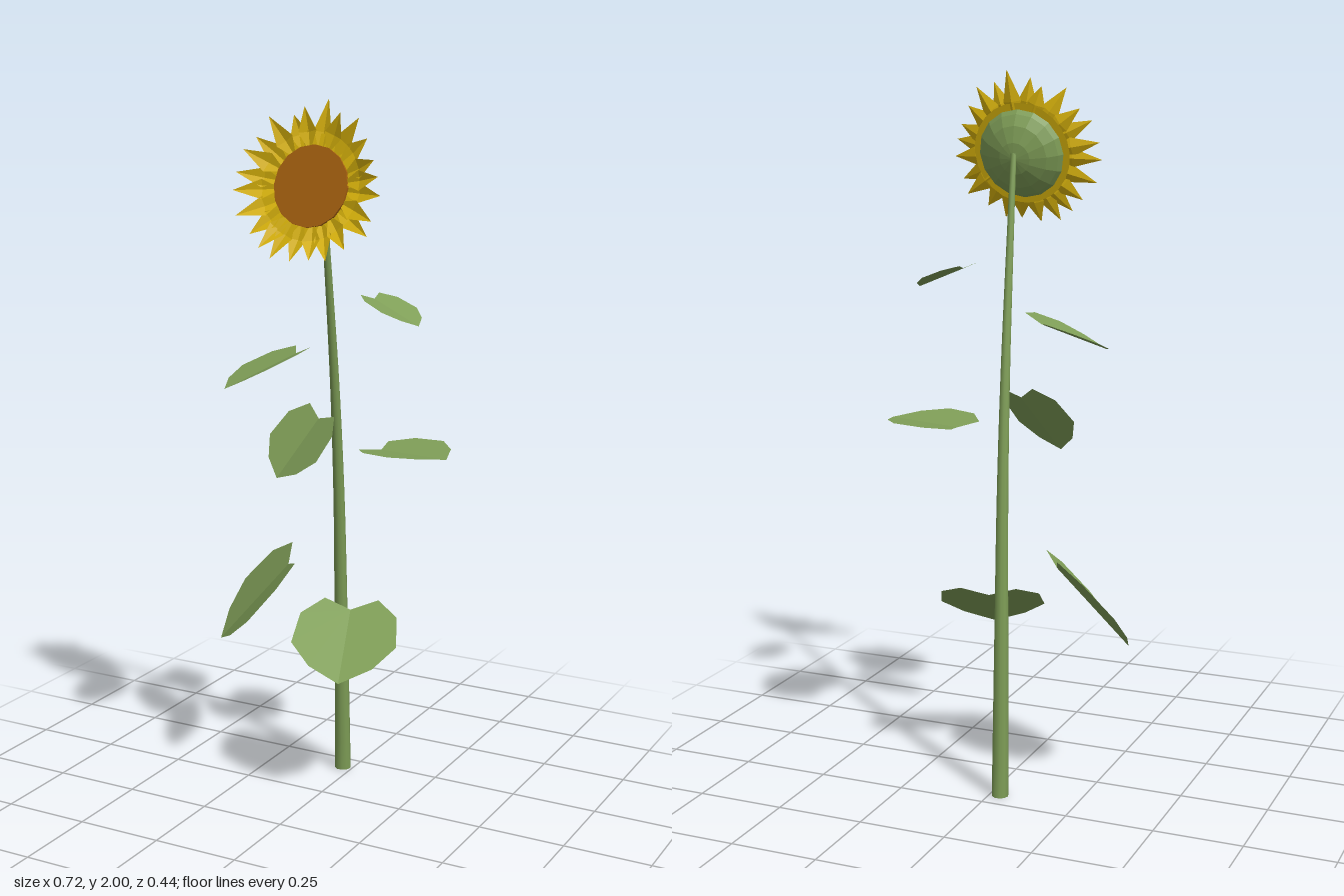
import * as THREE from 'three';

const green = new THREE.MeshStandardMaterial({ color: 0x809f58, flatShading: true, side: THREE.DoubleSide });
green.name = 'leafGreen';
const stemGreen = new THREE.MeshStandardMaterial({ color: 0x7c9b55 });
stemGreen.name = 'stemGreen';
const yellow = new THREE.MeshStandardMaterial({ color: 0xdcb60c, flatShading: true, side: THREE.DoubleSide });
yellow.name = 'petalYellow';
const brown = new THREE.MeshStandardMaterial({ color: 0xa9620f, flatShading: true });
brown.name = 'seedBrown';

const V = (x, y, z) => new THREE.Vector3(x, y, z);

function mesh(name, geometry, material, parent) {
  const m = new THREE.Mesh(geometry, material);
  m.name = name;
  parent.add(m);
  return m;
}

// Small seeded random source for natural variation
function seeded(seed) {
  return () => (seed = (seed * 16807) % 2147483647) / 2147483647;
}

// Heart-shaped leaf, folded lightly along its midrib
const leafEdge = [[-0.12, 0.52], [0.13, 0.93], [0.54, 1], [0.82, 0.6]];
function leafGeometry(base, tip, sideHint, halfWidth) {
  const axis = tip.clone().sub(base);
  const along = axis.clone().normalize();
  const side = sideHint.clone().addScaledVector(along, -sideHint.dot(along)).normalize();
  const up = along.clone().cross(side);
  const points = [base, tip];
  const index = [];
  for (const s of [1, -1]) {
    const first = points.length;
    for (const [u, v] of leafEdge) {
      points.push(base.clone().addScaledVector(axis, u)
        .addScaledVector(side, s * v * halfWidth)
        .addScaledVector(up, 0.13 * v * halfWidth));
    }
    const rim = [first, first + 1, first + 2, first + 3, 1];
    for (let i = 0; i < 4; i++) {
      if (s > 0) index.push(0, rim[i + 1], rim[i]);
      else index.push(0, rim[i], rim[i + 1]);
    }
  }
  const g = new THREE.BufferGeometry().setFromPoints(points);
  g.setIndex(index);
  g.computeVertexNormals();
  return g;
}

// Leaning stem that narrows toward the flower
function stemGeometry(path) {
  const rows = 20, sides = 10;
  const g = new THREE.TubeGeometry(path, rows, 1, sides, false);
  const p = g.attributes.position;
  const v = V(0, 0, 0);
  for (let i = 0; i <= rows; i++) {
    const c = path.getPointAt(i / rows);
    const r = THREE.MathUtils.lerp(0.024, 0.008, i / rows);
    for (let j = 0; j <= sides; j++) {
      const k = i * (sides + 1) + j;
      v.fromBufferAttribute(p, k).sub(c).multiplyScalar(r).add(c);
      p.setXYZ(k, v.x, i === 0 ? 0 : v.y, v.z);
    }
  }
  g.computeVertexNormals();
  return g;
}

// One pointed petal along +y with a raised midrib
function petalGeometry(length, lean) {
  const r0 = 0.09, mid = 0.145, w = 0.027;
  const g = new THREE.BufferGeometry().setFromPoints([
    V(0, r0, 0), V(w, mid, 0.004 + lean * 0.35), V(0, length, lean),
    V(-w, mid, 0.004 + lean * 0.35), V(0, mid, lean * 0.35 - 0.004)]);
  g.setIndex([0, 1, 4, 1, 2, 4, 2, 3, 4, 3, 0, 4]);
  g.computeVertexNormals();
  return g;
}

export function createModel() {
  const model = new THREE.Group();
  model.name = 'sunflower';

  const path = new THREE.CatmullRomCurve3([
    V(-0.03, 0, -0.19), V(-0.024, 0.45, -0.165), V(-0.012, 0.87, -0.125),
    V(0.0, 1.2, -0.075), V(0.014, 1.5, -0.012), V(0.028, 1.77, 0.05)]);
  mesh('stem', stemGeometry(path), stemGreen, model);
  const cut = mesh('stemBase', new THREE.CircleGeometry(0.024, 10).rotateX(Math.PI / 2), stemGreen, model);
  cut.position.set(-0.03, 0, -0.19);

  // Leaves: base, tip, direction across, half width
  const leaves = [
    ['lowerLeftLeaf', V(0.05, 0.545, -0.08), V(0.12, 0.40, 0.13), V(0.95, 0, -0.31), 0.15],
    ['lowerRightLeaf', V(-0.16, 0.65, -0.09), V(-0.34, 0.42, 0), V(0.53, -0.06, 0.85), 0.17],
    ['middleRightLeaf', V(-0.03, 1.11, -0.035), V(-0.11, 0.95, 0.065), V(0.94, 0.05, 0.33), 0.12],
    ['middleLeftLeaf', V(0.135, 1.025, -0.1), V(0.355, 1.03, -0.055), V(-0.2, 0, 0.98), 0.13],
    ['upperRightLeaf', V(-0.06, 1.305, 0.04), V(-0.195, 1.22, 0.2), V(0.77, 0.15, 0.64), 0.125],
    ['upperLeftLeaf', V(0.14, 1.46, -0.04), V(0.29, 1.4, -0.005), V(-0.15, 0, 1), 0.077],
  ];
  for (const [name, base, tip, side, w] of leaves) {
    const s = name.includes('Left') && name !== 'lowerLeftLeaf' ? side.negate() : side;
    mesh(name, leafGeometry(base, tip, s, w), green, model);
  }

  // Flower head, tipped slightly upward
  const head = new THREE.Group();
  head.name = 'flowerHead';
  head.position.set(0.028, 1.768, 0.108);
  head.rotation.x = -0.23;
  model.add(head);

  const disc = mesh('seedDisc', new THREE.CylinderGeometry(0.11, 0.11, 0.008, 16), brown, head);
  disc.rotation.x = Math.PI / 2;
  disc.position.z = 0.008;

  const profile = [[0, -0.062], [0.045, -0.054], [0.088, -0.036], [0.115, -0.015], [0.125, -0.002]]
    .map(([r, y]) => new THREE.Vector2(r, y));
  const calyx = mesh('calyx', new THREE.LatheGeometry(profile, 16), green, head);
  calyx.rotation.x = Math.PI / 2;

  // Two staggered rings of petals
  const petals = new THREE.Group();
  petals.name = 'petals';
  head.add(petals);
  const random = seeded(71);
  const count = 24;
  for (let i = 0; i < count; i++) {
    const front = i % 2;
    const length = i === 0 ? 0.233 : 0.197 + random() * 0.03;
    const petal = mesh('petal', petalGeometry(length, 0.012 + random() * 0.03), yellow, petals);
    petal.position.z = front ? 0.004 : 0;
    petal.rotation.z = -0.12 - (i + (i ? random() * 0.4 - 0.2 : 0)) / count * Math.PI * 2;
  }
  // Petal bed that closes the gaps between petal bases
  mesh('petalBed', new THREE.RingGeometry(0.08, 0.142, 24), yellow, head).position.z = 0.002;

  return model;
}
